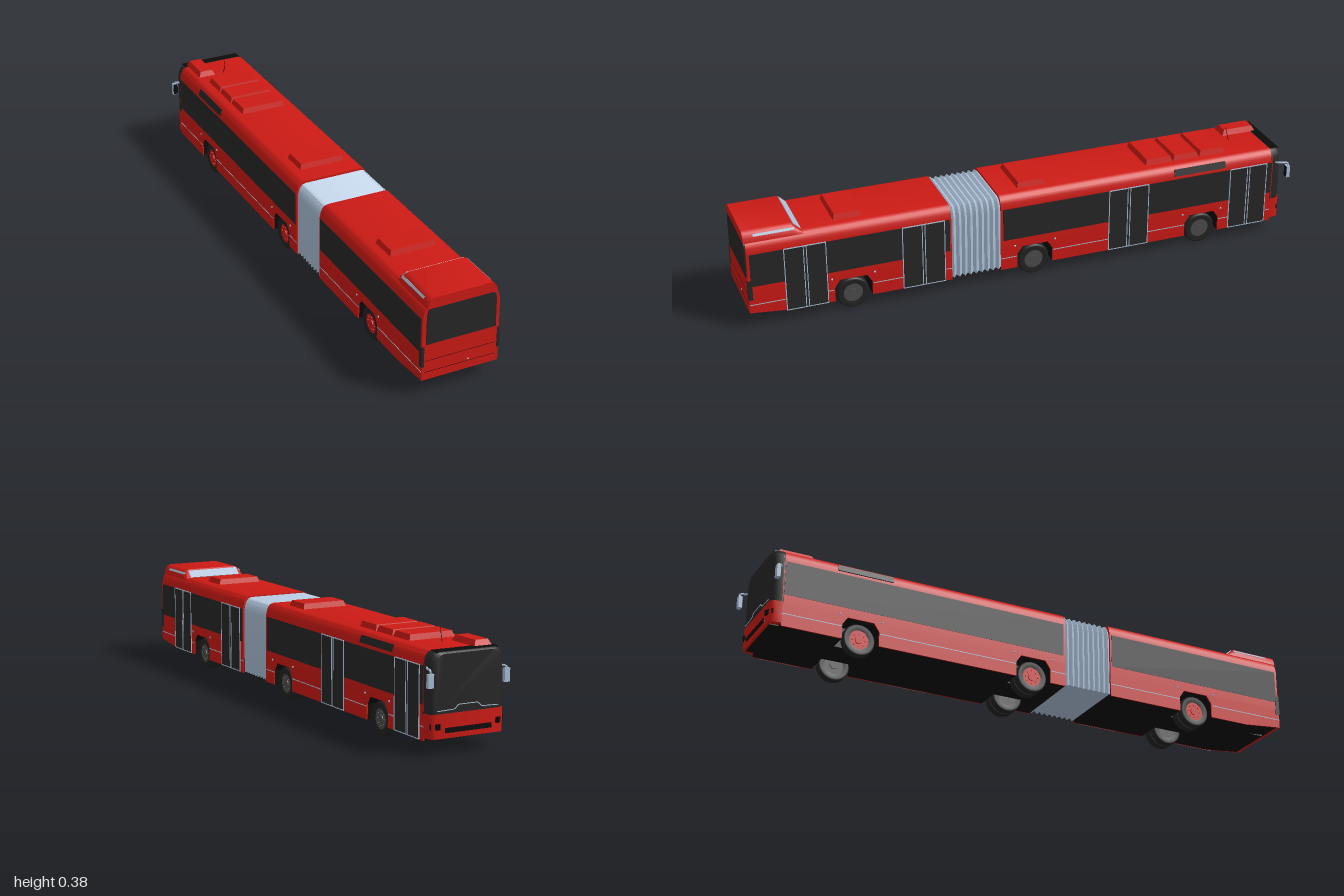
import * as THREE from 'three';
import { toCreasedNormals } from 'three/addons/utils/BufferGeometryUtils.js';

const mat = (color) => new THREE.MeshStandardMaterial({ color });
const RED = mat(0xcc1a14), BLACK = mat(0x0b0b0b), GLASS = mat(0x262626),
  TRIM = mat(0xa9bdd4), TYRE = mat(0x222222), RIM = mat(0x4c4c4c);

function add(parent, name, geometry, material, x = 0, y = 0, z = 0) {
  const mesh = new THREE.Mesh(geometry, material);
  mesh.name = name;
  mesh.position.set(x, y, z);
  parent.add(mesh);
  return mesh;
}

// Box given by its extents on each axis
function block(parent, name, material, [x0, x1], [y0, y1], [z0, z1]) {
  return add(parent, name, new THREE.BoxGeometry(x1 - x0, y1 - y0, z1 - z0), material,
    (x0 + x1) / 2, (y0 + y1) / 2, (z0 + z1) / 2);
}

// Skin through convex rings ordered by rising z; each ring is { z, pts } anticlockwise
function loft(rings, crease = 0.6) {
  const pos = [], n = rings[0].pts.length;
  const put = (r, i) => pos.push(...r.pts[i % n], r.z);
  for (let k = 0; k + 1 < rings.length; k++) {
    const a = rings[k], b = rings[k + 1];
    for (let i = 0; i < n; i++) {
      put(a, i); put(a, i + 1); put(b, i + 1);
      put(a, i); put(b, i + 1); put(b, i);
    }
  }
  const first = rings[0], last = rings[rings.length - 1];
  for (let i = 1; i < n - 1; i++) {
    put(first, 0); put(first, i + 1); put(first, i);
    put(last, 0); put(last, i); put(last, i + 1);
  }
  const g = new THREE.BufferGeometry();
  g.setAttribute('position', new THREE.Float32BufferAttribute(pos, 3));
  return toCreasedNormals(g, crease);
}

const mirrored = (half) => [...half, ...half.slice().reverse().map(([x, y]) => [-x, y])];

// Cross-section with straight sides and rounded roof edges
const section = (w, y0, y1) => mirrored([[w, y0], [w, y1 - 0.045], [w - 0.004, y1 - 0.025],
  [w - 0.009, y1 - 0.013], [w - 0.017, y1 - 0.004], [w - 0.03, y1]]);
const slab = (w, y0, y1) => [[w, y0], [w, y1], [-w, y1], [-w, y0]];

// Side outline of the lower body with wheel arch notches, extruded across x
function lowerSide(z0, z1, arches, tailRise, x0, x1) {
  const s = new THREE.Shape();
  s.moveTo(z0, 0.043);
  for (const c of arches) {
    for (const [dz, y] of [[-0.066, 0.043], [-0.066, 0.095], [-0.047, 0.123],
      [0.047, 0.123], [0.066, 0.095], [0.066, 0.043]]) s.lineTo(c + dz, y);
  }
  if (tailRise) s.lineTo(0.85, 0.043);
  s.lineTo(z1, tailRise ? 0.058 : 0.043);
  s.lineTo(z1, 0.13);
  s.lineTo(z0, 0.13);
  return new THREE.ExtrudeGeometry(s, { depth: x1 - x0, bevelEnabled: false })
    .rotateY(-Math.PI / 2).translate(x1, 0, 0);
}

// Box tapering towards its top
function hatch(w, h, d, inset) {
  const g = new THREE.BoxGeometry(w, h, d).toNonIndexed(), p = g.attributes.position;
  for (let i = 0; i < p.count; i++) {
    if (p.getY(i) > 0) p.setXYZ(i, p.getX(i) * (1 - 2 * inset / w), p.getY(i), p.getZ(i) * (1 - 2 * inset / d));
  }
  g.computeVertexNormals();
  return g;
}

function wheel(parent, z, side, dual) {
  const g = new THREE.Group();
  g.name = 'wheel';
  g.position.set(0, 0.057, z);
  const profile = [[0.034, -0.014], [0.05, -0.0165], [0.055, -0.014], [0.057, -0.009],
    [0.057, 0.009], [0.055, 0.014], [0.05, 0.0165], [0.034, 0.014]].map((p) => new THREE.Vector2(...p));
  const tyre = new THREE.LatheGeometry(profile, 32).rotateZ(Math.PI / 2);
  const disc = (r, w) => new THREE.CylinderGeometry(r, r, w, 24).rotateZ(Math.PI / 2);
  const rim = side > 0 ? RIM : RED;
  for (const x of dual ? [0.111, 0.078] : [0.111]) {
    add(g, 'tyre', tyre, TYRE, side * x);
    add(g, 'rim', disc(0.0355, 0.022), rim, side * x);
  }
  add(g, 'hub', disc(0.014, 0.03), rim, side * 0.111);
  for (let i = 0; i < 8; i++) {
    const a = i * Math.PI / 4;
    add(g, 'wheelBolt', disc(0.0025, 0.004), rim, side * 0.123, 0.023 * Math.sin(a), 0.023 * Math.cos(a));
  }
  parent.add(g);
}

function door(parent, z0, z1) {
  const g = new THREE.Group(), mid = (z0 + z1) / 2, y = [0.045, 0.278];
  g.name = 'door';
  block(g, 'doorGlass', GLASS, [0.13, 0.1392], y, [z0, z1]);
  for (const z of [z0, mid - 0.005, mid + 0.005, z1]) {
    block(g, 'doorFrame', TRIM, [0.137, 0.1402], y, [z - 0.0015, z + 0.0015]);
  }
  for (const e of y) block(g, 'doorRail', TRIM, [0.137, 0.1402], [e - 0.0015, e + 0.0015], [z0, z1]);
  parent.add(g);
}

export function createModel() {
  const bus = new THREE.Group();
  bus.name = 'articulatedBus';
  const W = 0.1375, TOP = 0.324;
  const cars = [
    { name: 'leadCar', z0: -0.94, z1: 0.105, arches: [-0.663, -0.021] },
    { name: 'trailingCar', z0: 0.285, z1: 0.995, arches: [0.636], tail: true },
  ];
  const doors = [[-0.915, -0.77], [-0.45, -0.30], [0.31, 0.46], [0.727, 0.87]];

  // Body shells, skirts, glazing and trim of both cars
  for (const c of cars) {
    const car = new THREE.Group();
    car.name = c.name;
    bus.add(car);
    add(car, 'upperBody', loft([c.z0, c.z1].map((z) => ({ z, pts: section(W, 0.126, TOP) }))), RED);
    add(car, 'underbody', lowerSide(c.z0, c.z1 - 0.002, c.arches, c.tail, -0.133, 0.133), BLACK);
    block(car, 'chassis', BLACK, [-0.055, 0.055], [0.05, 0.128], [c.z0 + 0.02, c.z1 - 0.02]);
    for (const s of [-1, 1]) {
      const xs = (a, b) => (s > 0 ? [a, b] : [-b, -a]);
      add(car, 'skirt', lowerSide(c.z0, c.z1, c.arches, c.tail, ...xs(0.133, W)), RED);
      block(car, 'windowBand', GLASS, xs(0.13, 0.1383), [0.157, 0.278], [c.z0 + 0.006, c.z1 - 0.008]);
      // Trim line broken at the wheel arches
      const stops = [c.z0, ...c.arches.flatMap((a) => [a - 0.068, a + 0.068]), c.z1];
      for (let i = 0; i < stops.length; i += 2) {
        block(car, 'trimLine', TRIM, xs(0.136, 0.1382), [0.086, 0.089], [stops[i], stops[i + 1]]);
      }
      for (const a of c.arches) {
        wheel(car, a, s, a > -0.5);
        for (const dz of [-0.075, 0.075]) {
          add(car, 'markerLamp', new THREE.SphereGeometry(0.004, 10, 8), TRIM, s * W, 0.13, a + dz);
        }
      }
    }
  }
  for (const d of doors) door(bus, ...d);
  for (const s of [-1, 1]) {
    const sign = block(bus, 'sideSign', GLASS, [-0.003, 0.003], [0.288, 0.313], [-0.75, -0.55]);
    sign.position.x = s * 0.1315;
    sign.rotation.z = s * 0.35;
  }

  // Pleated bellows
  const folds = 9, pleats = [];
  for (let i = 0; i <= folds * 2; i++) {
    const d = i % 2 ? 0 : 0.007;
    pleats.push({ z: 0.103 + 0.184 * i / (folds * 2), pts: section(0.136 - d, 0.047 + d, 0.321 - d) });
  }
  add(bus, 'bellows', loft(pleats, 0.3), TRIM);

  // Driving end: dark glazed mask over a red bumper
  const nose = [[-0.976, 0.118, 0.008], [-0.97, 0.129, 0.003], [-0.96, 0.135, 0], [-0.935, 0.1378, 0]];
  add(bus, 'windscreenMask', loft(nose.map(([z, w, d]) => ({ z, pts: section(w, 0.128, 0.3245 - d) }))), GLASS);
  block(bus, 'roofVisor', BLACK, [-0.112, 0.112], [0.31, 0.3255], [-0.968, -0.937]);
  add(bus, 'frontBumper', loft(nose.map(([z, w]) => ({ z: z - 0.003, pts: slab(w + 0.0005, 0.053, 0.13) }))), RED);
  block(bus, 'bumperFloor', BLACK, [-0.115, 0.115], [0.05, 0.054], [-0.97, -0.93]);
  block(bus, 'frontGrille', BLACK, [-0.085, 0.085], [0.07, 0.086], [-0.981, -0.97]);
  for (const s of [-1, 1]) {
    const lamp = add(bus, 'headlamp', new THREE.BoxGeometry(0.034, 0.018, 0.012), BLACK, s * 0.117, 0.092, -0.973);
    lamp.rotation.y = s * -0.55;
  }
  const wiper = new THREE.CatmullRomCurve3([[-0.112, 0.14], [-0.05, 0.142], [-0.035, 0.155], [0.035, 0.155],
    [0.05, 0.142], [0.112, 0.14]].map(([x, y]) => new THREE.Vector3(x, y, -0.978)), false, 'catmullrom', 0.1);
  add(bus, 'wiper', new THREE.TubeGeometry(wiper, 40, 0.0015, 6), TRIM);

  // Mirrors on bent arms
  for (const [s, y, z, ay] of [[1, 0.241, -0.993, 0.275], [-1, 0.228, -0.965, 0.257]]) {
    const x = s * 0.149;
    const path = new THREE.CatmullRomCurve3([[s * 0.13, ay, -0.945], [s * 0.145, ay, (z - 0.945) / 2],
      [x, ay - 0.003, z], [x, y, z]].map((p) => new THREE.Vector3(...p)));
    add(bus, 'mirrorArm', new THREE.TubeGeometry(path, 16, 0.0035, 8), TRIM);
    add(bus, 'mirrorHousing', new THREE.BoxGeometry(0.02, 0.044, 0.013), TRIM, x, y, z);
    add(bus, 'mirrorGlass', new THREE.BoxGeometry(0.017, 0.04, 0.002), BLACK, x, y, z + 0.007);
  }

  // Rear face
  block(bus, 'rearPanel', RED, [-W, W], [0.057, 0.19], [0.985, 0.997]);
  const pane = new THREE.Shape();
  pane.moveTo(-0.124, 0.187);
  pane.lineTo(0.124, 0.187);
  pane.lineTo(0.123, 0.285);
  pane.quadraticCurveTo(0.122, 0.314, 0.11, 0.314);
  pane.lineTo(-0.11, 0.314);
  pane.quadraticCurveTo(-0.122, 0.314, -0.123, 0.285);
  add(bus, 'rearWindow', new THREE.ExtrudeGeometry(pane, { depth: 0.009, bevelEnabled: false }), GLASS, 0, 0, 0.99);
  for (const y of [0.085, 0.126]) block(bus, 'panelGap', BLACK, [-0.126, 0.126], [y, y + 0.001], [0.99, 0.9976]);
  for (const s of [-1, 1]) block(bus, 'tailLamp', GLASS, [s * 0.135 - 0.0045, s * 0.135 + 0.0045], [0.107, 0.18], [0.983, 0.9985]);
  add(bus, 'rearLatch', new THREE.SphereGeometry(0.003, 10, 8), TRIM, 0.029, 0.092, 0.997);

  // Engine pod on the roof
  const podRing = (h) => mirrored([[0.125, 0.316], [0.121, 0.316 + 0.5 * h], [0.111, 0.316 + 0.85 * h], [0.099, 0.316 + h]]);
  add(bus, 'enginePod', loft([[0.795, 0.004], [0.83, 0.037], [1, 0.037]].map(([z, h]) => ({ z, pts: podRing(h) }))), RED);
  const grille = add(bus, 'podGrille', new THREE.BoxGeometry(0.205, 0.004, 0.034), TRIM, 0, 0.336, 0.812);
  grille.rotation.x = -0.76;
  for (const s of [-1, 1]) {
    const strip = add(bus, 'podVent', new THREE.BoxGeometry(0.004, 0.009, 0.14), TRIM, s * 0.1175, 0.338, 0.895);
    strip.rotation.z = s * 0.6;
  }

  // Roof hatches, cab unit and aerial
  for (const [z0, z1] of [[-0.77, -0.669], [-0.667, -0.567], [-0.565, -0.46], [-0.077, 0.027], [0.583, 0.685]]) {
    add(bus, 'roofHatch', hatch(0.17, 0.022, z1 - z0, 0.007), RED, 0, 0.332, (z0 + z1) / 2);
  }
  add(bus, 'cabRoofUnit', hatch(0.07, 0.024, 0.135, 0.012), RED, -0.07, 0.331, -0.887);
  const aerial = add(bus, 'aerial', new THREE.CylinderGeometry(0.0008, 0.0012, 0.056, 6), BLACK, 0, 0.349, -0.82);
  aerial.rotation.x = 0.25;
  return bus;
}
